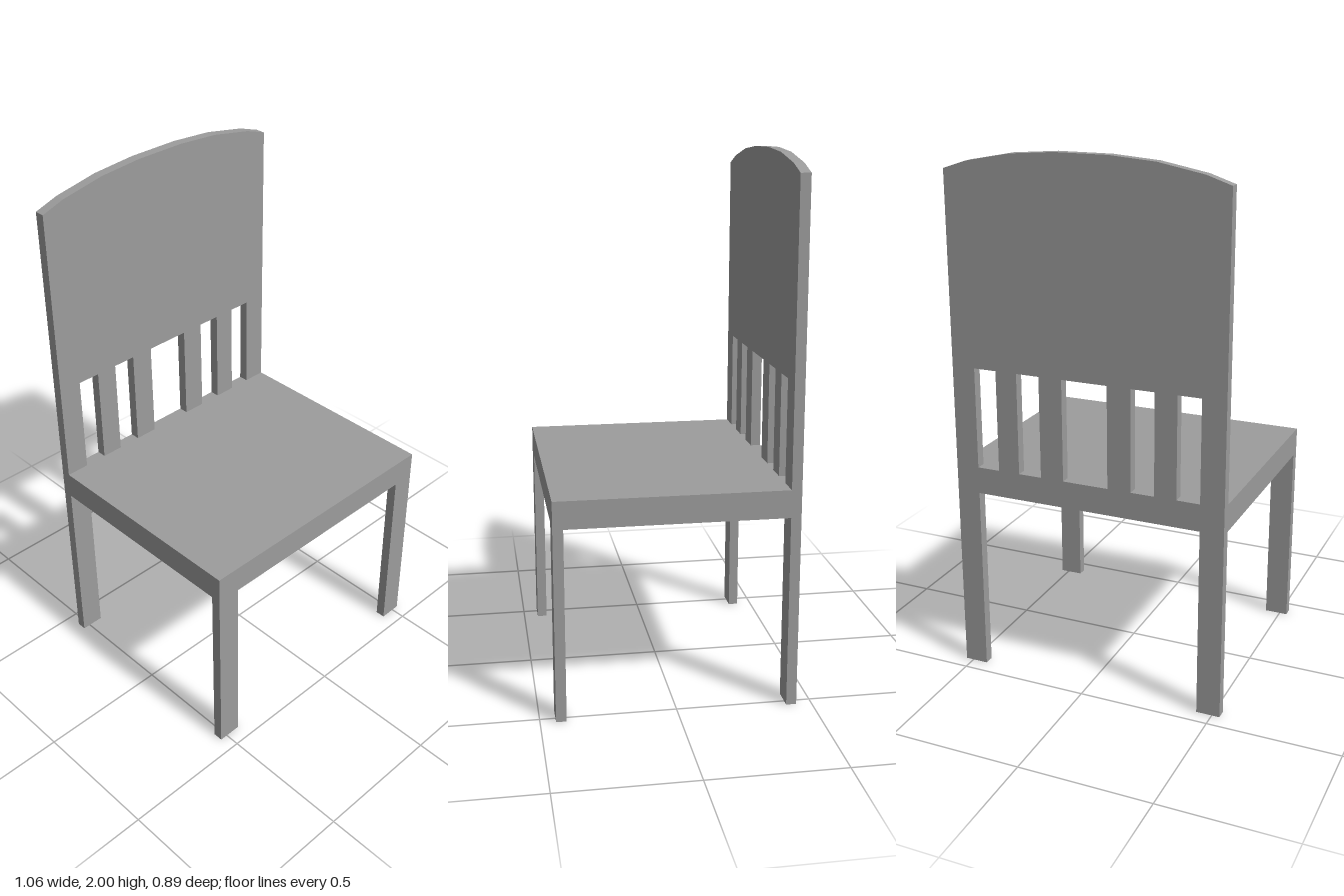
import * as THREE from 'three';

const HALF_W = 0.53, HALF_D = 0.443, THICK = 0.038;
const SEAT_BOTTOM = 0.722, SEAT_TOP = 0.825;

export function createModel() {
  const chair = new THREE.Group();
  chair.name = 'chair';
  const material = new THREE.MeshStandardMaterial({ color: 0x9c9c9c, flatShading: true });

  const add = (name, geometry, x, y, z) => {
    const mesh = new THREE.Mesh(geometry, material);
    mesh.name = name;
    mesh.position.set(x, y, z);
    chair.add(mesh);
  };

  // Seat slab
  add('seat', new THREE.BoxGeometry(HALF_W * 2, SEAT_TOP - SEAT_BOTTOM, HALF_D * 2),
    0, (SEAT_TOP + SEAT_BOTTOM) / 2, 0);

  // Four flat legs, flush with the corners of the seat
  const legW = 0.09;
  for (const [side, sx] of [['left', 1], ['right', -1]]) {
    for (const [end, sz] of [['Front', 1], ['Back', -1]]) {
      add(`${side}${end}Leg`, new THREE.BoxGeometry(legW, SEAT_BOTTOM, THICK),
        sx * (HALF_W - legW / 2), SEAT_BOTTOM / 2, sz * (HALF_D - THICK / 2));
    }
  }

  // Backrest: shallow faceted arch on top, five openings running down to the seat
  const panelBottom = 1.21;
  const openings = [[-0.44, -0.352], [-0.268, -0.178], [-0.088, 0.088], [0.178, 0.268], [0.352, 0.44]];
  const arch = [[HALF_W, 1.925], [0.44, 1.955], [0.27, 1.987], [0.1, 2]];

  const outline = new THREE.Shape();
  outline.moveTo(-HALF_W, SEAT_TOP);
  for (const [x0, x1] of openings) {
    outline.lineTo(x0, SEAT_TOP);
    outline.lineTo(x0, panelBottom);
    outline.lineTo(x1, panelBottom);
    outline.lineTo(x1, SEAT_TOP);
  }
  outline.lineTo(HALF_W, SEAT_TOP);
  for (const [x, y] of arch) outline.lineTo(x, y);
  for (const [x, y] of [...arch].reverse()) outline.lineTo(-x, y);
  outline.closePath();
  add('backrest', new THREE.ExtrudeGeometry(outline, { depth: THICK, bevelEnabled: false }),
    0, 0, -HALF_D);

  return chair;
}
